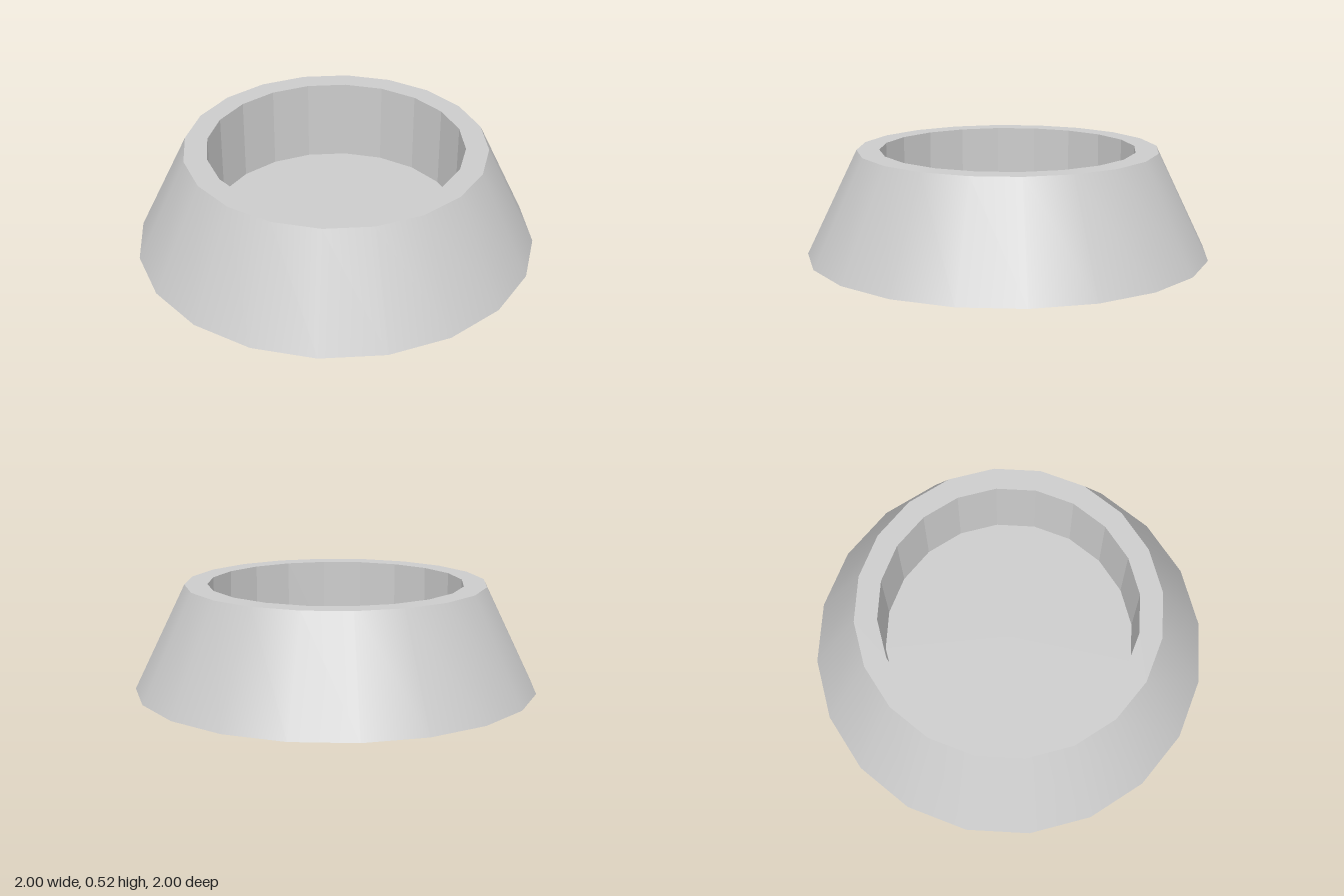
import * as THREE from 'three';

const SIDES = 20;
const HEIGHT = 0.52, FLOOR = 0.095;
const BASE_R = 1, TOP_R = 0.747, HOLE_R = 0.635;

export function createModel() {
  const group = new THREE.Group();
  group.name = 'taperedBowl';
  const smooth = new THREE.MeshStandardMaterial({ color: 0xcccccc });
  const flat = new THREE.MeshStandardMaterial({ color: 0xcccccc, flatShading: true });

  const add = (name, geometry, material, y = 0) => {
    const mesh = new THREE.Mesh(geometry, material);
    mesh.name = name;
    mesh.position.y = y;
    group.add(mesh);
  };
  const p = (r, y) => new THREE.Vector2(r, y);

  // sloping outside, smooth around
  add('outerWall', new THREE.LatheGeometry([p(BASE_R, 0), p(TOP_R, HEIGHT)], SIDES), smooth);

  // upright faceted inside; profile runs downwards so it faces the axis
  add('innerWall', new THREE.LatheGeometry([p(HOLE_R, HEIGHT), p(HOLE_R, FLOOR)], SIDES), flat);

  // level faces: rim, bowl floor and underside
  add('rim', new THREE.RingGeometry(HOLE_R, TOP_R, SIDES).rotateX(-Math.PI / 2), flat, HEIGHT);
  add('bowlFloor', new THREE.CircleGeometry(HOLE_R, SIDES).rotateX(-Math.PI / 2), flat, FLOOR);
  add('underside', new THREE.CircleGeometry(BASE_R, SIDES).rotateX(Math.PI / 2), flat);

  return group;
}
